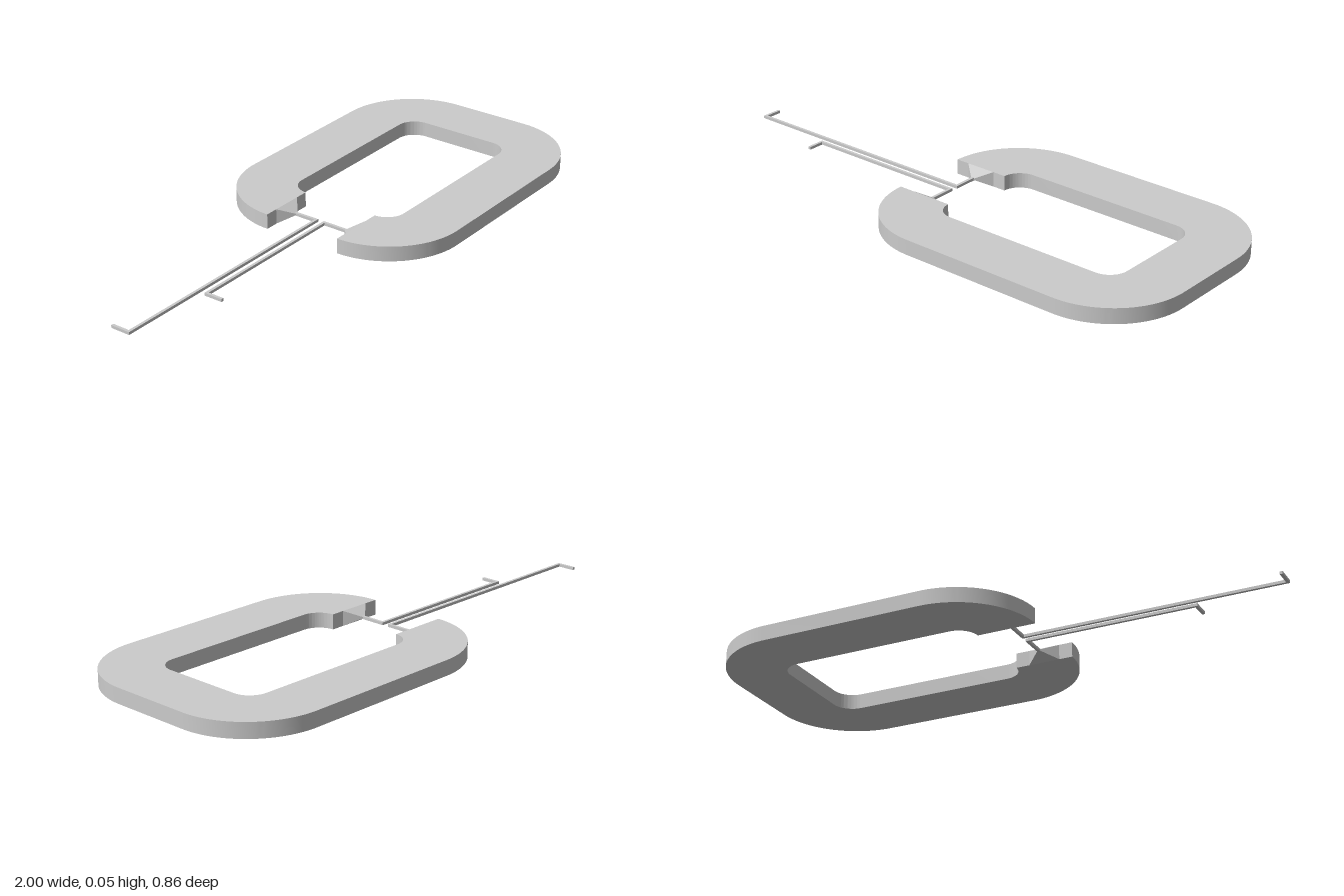
import * as THREE from 'three';
import { toCreasedNormals } from 'three/addons/utils/BufferGeometryUtils.js';

const material = new THREE.MeshStandardMaterial({ color: 0xcccccc });
const H = 0.0545, GAP = 0.147, WIRE = 0.01, TIP_X = -0.057;

function mesh(geometry, name) {
  const m = new THREE.Mesh(geometry, material);
  m.name = name;
  return m;
}

// Flat rounded C with its opening towards -x
function buildRing() {
  const s = new THREE.Shape();
  const R = 0.285, r = 0.07, q = Math.PI / 2;
  const outX = 0.998, outZ = 0.432, inX = 0.785, inZ = 0.217;
  s.moveTo(-0.163, -GAP);
  s.absarc(-0.163 + R, -outZ + R, R, 2 * q, 3 * q, false);
  s.absarc(outX - R, -outZ + R, R, 3 * q, 4 * q, false);
  s.absarc(outX - R, outZ - R, R, 0, q, false);
  s.absarc(-0.163 + R, outZ - R, R, q, 2 * q, false);
  s.lineTo(0.05, GAP);
  s.absarc(0.05 + r, inZ - r, r, 2 * q, q, true);
  s.absarc(inX - r, inZ - r, r, q, 0, true);
  s.absarc(inX - r, -inZ + r, r, 4 * q, 3 * q, true);
  s.absarc(0.05 + r, -inZ + r, r, 3 * q, 2 * q, true);
  s.closePath();
  const g = new THREE.ExtrudeGeometry(s, { depth: H, bevelEnabled: false, curveSegments: 20 });
  g.rotateX(-Math.PI / 2);
  return mesh(toCreasedNormals(g, 0.5), 'openRing');
}

// Four-sided tip narrowing from the ring end to the wire
function buildTip(side) {
  const length = 0.049;
  const g = new THREE.ConeGeometry(Math.SQRT1_2, length, 4, 1).toNonIndexed();
  g.rotateY(Math.PI / 4);
  g.scale(0.114, 1, H);
  g.rotateX(-side * Math.PI / 2);
  g.computeVertexNormals();
  const tip = mesh(g, 'contactTip');
  tip.position.set(TIP_X, H / 2, side * (GAP - length / 2));
  return tip;
}

// Square wire through axis-aligned corner points [x, z]
function buildWire(points, name) {
  const wire = new THREE.Group();
  wire.name = name;
  for (let i = 0; i < points.length - 1; i++) {
    const [x0, z0] = points[i], [x1, z1] = points[i + 1];
    const seg = mesh(new THREE.BoxGeometry(Math.abs(x1 - x0) + WIRE, WIRE, Math.abs(z1 - z0) + WIRE), 'wireSegment');
    seg.position.set((x0 + x1) / 2, H / 2, (z0 + z1) / 2);
    wire.add(seg);
  }
  return wire;
}

export function createModel() {
  const model = new THREE.Group();
  model.name = 'openRingWithLeads';
  model.add(buildRing(), buildTip(1), buildTip(-1));
  model.add(buildWire([[TIP_X, -0.105], [TIP_X, -0.02], [-0.995, -0.02], [-0.995, -0.083]], 'longLead'));
  model.add(buildWire([[TIP_X, 0.105], [TIP_X, 0.0135], [-0.67, 0.0135], [-0.67, 0.073]], 'shortLead'));
  return model;
}
